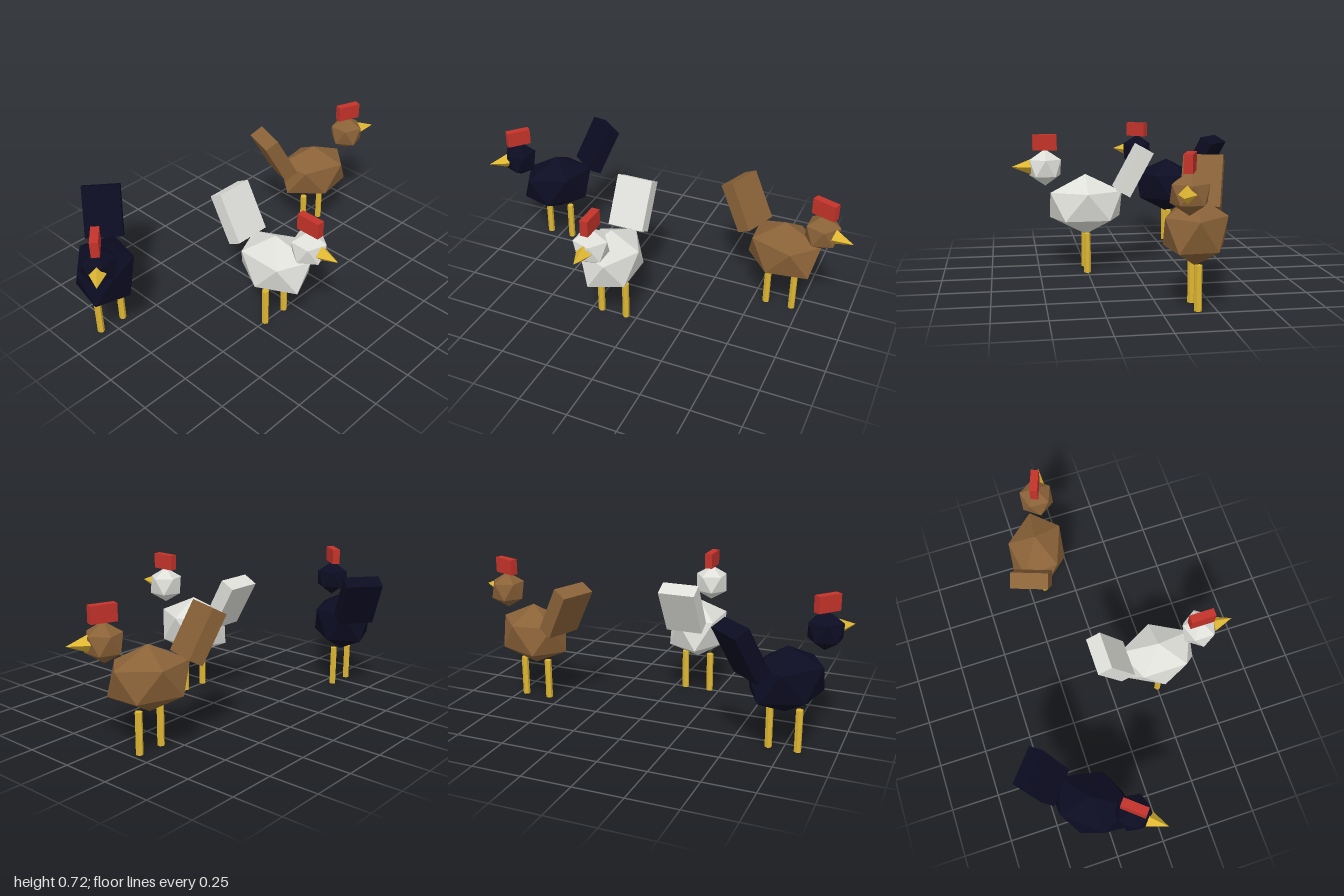
import * as THREE from 'three';

const material = (name, color) => {
  const m = new THREE.MeshStandardMaterial({ color });
  m.name = name;
  return m;
};

// Give every face its own normal
function faceted(geometry) {
  const g = geometry.index ? geometry.toNonIndexed() : geometry;
  g.computeVertexNormals();
  return g;
}

// Icosahedron standing on a point, with an upper-ring corner on +x
function standingIcosahedron(rx, ry, rz) {
  const g = new THREE.IcosahedronGeometry(1, 0);
  g.rotateX(-Math.atan((1 + Math.sqrt(5)) / 2));
  g.rotateY(Math.PI / 2);
  g.scale(rx, ry, rz);
  return faceted(g);
}

function addPart(parent, name, geometry, mat, x, y, z) {
  const mesh = new THREE.Mesh(geometry, mat);
  mesh.name = name;
  mesh.position.set(x, y, z);
  parent.add(mesh);
  return mesh;
}

export function createModel() {
  const model = new THREE.Group();
  model.name = 'chickens';

  const red = material('comb red', 0xc4332a);
  const yellow = material('beak and leg yellow', 0xdfb732);

  const bodyShape = standingIcosahedron(0.165, 0.161, 0.22);
  const headShape = standingIcosahedron(0.096, 0.096, 0.096);
  const beakShape = faceted(new THREE.ConeGeometry(0.04, 0.1, 4).rotateX(Math.PI / 2));
  const combShape = new THREE.BoxGeometry(0.04, 0.081, 0.125);
  const tailShape = new THREE.BoxGeometry(0.19, 0.26, 0.08);
  const legShape = faceted(new THREE.CylinderGeometry(0.018, 0.018, 0.21, 6));

  const flock = [
    { name: 'whiteChicken', mat: material('white feathers', 0xdfdfda), x: -0.128, z: 0.252, turn: 0 },
    { name: 'brownChicken', mat: material('brown feathers', 0x8a6238), x: 0.64, z: -0.165, turn: 70 },
    { name: 'blackChicken', mat: material('black feathers', 0x0c0c22), x: -0.75, z: -0.305, turn: -40 },
  ];

  for (const { name, mat, x, z, turn } of flock) {
    const chicken = new THREE.Group();
    chicken.name = name;
    chicken.position.set(x, 0, z);
    model.add(chicken);

    // Turned upper parts
    const bird = new THREE.Group();
    bird.name = 'bird';
    bird.rotation.y = THREE.MathUtils.degToRad(turn);
    chicken.add(bird);
    addPart(bird, 'body', bodyShape, mat, 0, 0.353, 0);
    addPart(bird, 'head', headShape, mat, 0, 0.553, 0.21);
    addPart(bird, 'beak', beakShape, yellow, 0, 0.558, 0.334);
    addPart(bird, 'comb', combShape, red, 0, 0.684, 0.211);
    addPart(bird, 'tail', tailShape, mat, 0, 0.531, -0.252).rotation.x = -0.5;

    // Legs stay side by side along x
    for (const side of [-1, 1]) {
      addPart(chicken, side > 0 ? 'leftLeg' : 'rightLeg', legShape, yellow, side * 0.07, 0.105, 0);
    }
  }
  return model;
}
